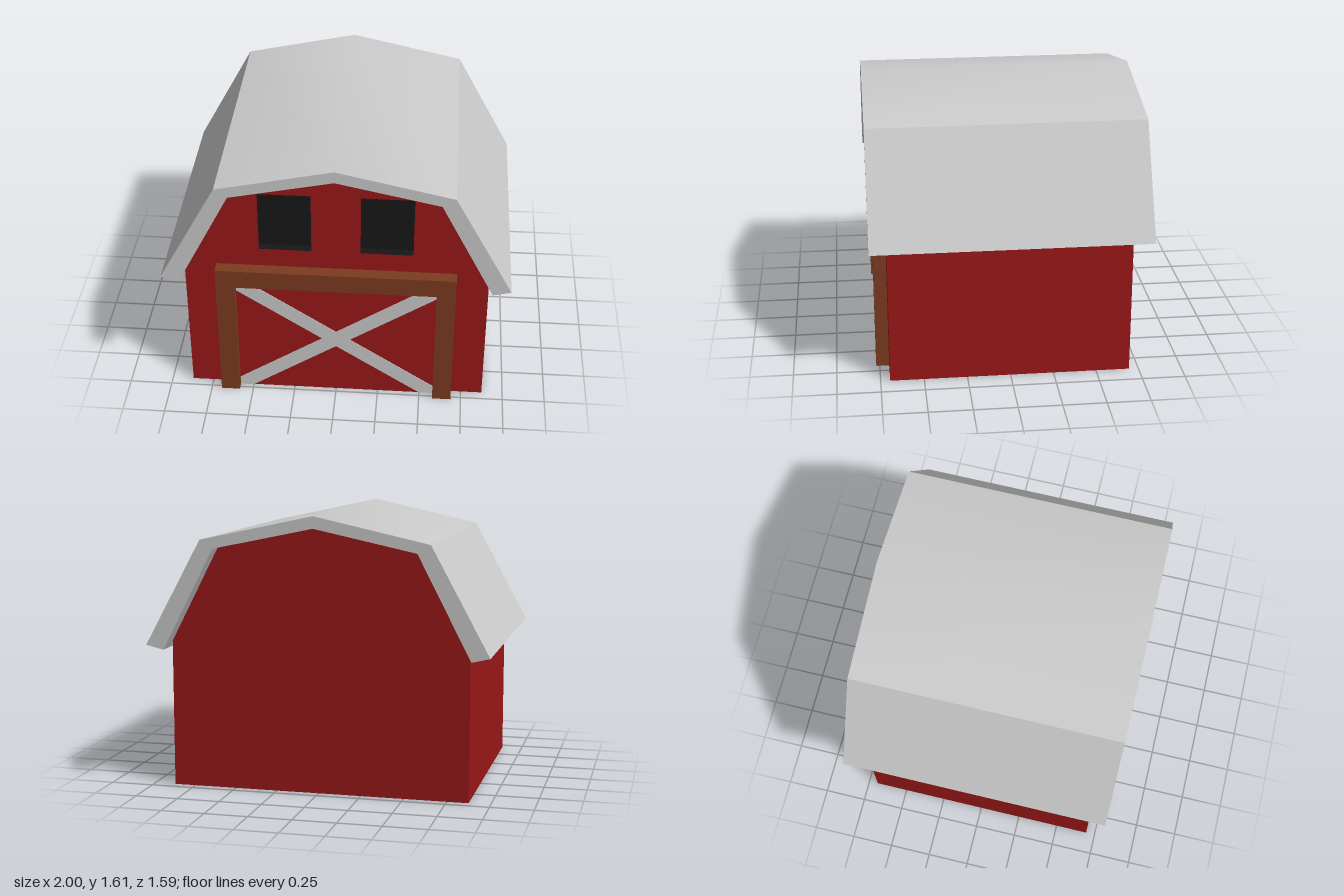
import * as THREE from 'three';
import { toCreasedNormals } from 'three/addons/utils/BufferGeometryUtils.js';

const paint = (color) => new THREE.MeshStandardMaterial({ color, side: THREE.DoubleSide });
const red = paint(0x9b1818);
const brown = paint(0x7c3b20);
const black = paint(0x171717);
const grey = paint(0xcccccc);

const WALL_X = 0.875, WALL_Z = 0.695, WALL_TOP = 0.859; // shell half sizes and eave height
const DOOR_X = 0.58, DOOR_TOP = 0.77, DOOR_Z = 0.72;
const WIN = { x: 0.29, y: 1.1875, w: 0.3, h: 0.375, depth: 0.05 };

const points = (list) => list.map(([x, y]) => new THREE.Vector2(x, y));
const outline = (list) => new THREE.Shape(points(list));

function extrude(shape, z0, z1) {
  const geo = new THREE.ExtrudeGeometry(shape, { depth: z1 - z0, bevelEnabled: false });
  return geo.translate(0, 0, z0);
}

export function createModel() {
  const barn = new THREE.Group();
  barn.name = 'barn';

  const add = (name, geo, material) => {
    const mesh = new THREE.Mesh(geo, material);
    mesh.name = name;
    barn.add(mesh);
    return mesh;
  };

  // Gable tops shared by the front and back walls
  const gable = [[WALL_X, WALL_TOP], [0.59, 1.41], [0, 1.535], [-0.59, 1.41], [-WALL_X, WALL_TOP]];

  // Front wall, notched for the door and pierced for the windows
  const front = outline([
    [-WALL_X, 0], [-DOOR_X, 0], [-DOOR_X, DOOR_TOP], [DOOR_X, DOOR_TOP], [DOOR_X, 0], [WALL_X, 0], ...gable,
  ]);
  for (const side of [-1, 1]) {
    const x0 = side * WIN.x - WIN.w / 2, x1 = x0 + WIN.w;
    const y0 = WIN.y - WIN.h / 2, y1 = y0 + WIN.h;
    front.holes.push(new THREE.Path(points([[x0, y0], [x0, y1], [x1, y1], [x1, y0]])));
  }
  add('frontWall', new THREE.ShapeGeometry(front).translate(0, 0, WALL_Z), red);

  // Back wall
  const back = new THREE.ShapeGeometry(outline([[-WALL_X, 0], [WALL_X, 0], ...gable]));
  add('backWall', back.rotateY(Math.PI).translate(0, 0, -WALL_Z), red);

  for (const side of [-1, 1]) {
    const label = side > 0 ? 'left' : 'right';

    // Side wall
    const wall = new THREE.PlaneGeometry(2 * WALL_Z, WALL_TOP).rotateY(side * Math.PI / 2);
    add(label + 'Wall', wall.translate(side * WALL_X, WALL_TOP / 2, 0), red);

    // Recessed window: a box without its +z face
    const box = new THREE.BoxGeometry(WIN.w, WIN.h, WIN.depth);
    const index = Array.from(box.index.array);
    index.splice(24, 6);
    box.setIndex(index);
    box.clearGroups();
    add(label + 'Window', box.translate(side * WIN.x, WIN.y, WALL_Z - WIN.depth / 2), black);

    // Diagonal door brace, running corner to corner
    const brace = outline([
      [-DOOR_X, DOOR_TOP], [-DOOR_X, 0.715], [0.5, 0], [DOOR_X, 0], [DOOR_X, 0.055], [-0.5, DOOR_TOP],
    ].map(([x, y]) => [side * x, y]));
    add(label + 'DoorBrace', extrude(brace, DOOR_Z - 0.003, DOOR_Z + 0.003), grey);
  }

  // Door panel
  const panel = new THREE.PlaneGeometry(2 * DOOR_X, DOOR_TOP);
  add('doorPanel', panel.translate(0, DOOR_TOP / 2, DOOR_Z), red);

  // Door frame
  const frame = outline([
    [-0.69, 0], [-DOOR_X, 0], [-DOOR_X, DOOR_TOP], [DOOR_X, DOOR_TOP],
    [DOOR_X, 0], [0.69, 0], [0.69, 0.885], [-0.69, 0.885],
  ]);
  add('doorFrame', extrude(frame, WALL_Z, 0.77), brown);

  // Gambrel roof, smooth over the ridge and sharp at the knees
  const roof = outline([
    [1, 0.845], [0.665, 1.46], [0, 1.605], [-0.665, 1.46], [-1, 0.845],
    [-0.895, 0.82], [-0.59, 1.41], [0, 1.535], [0.59, 1.41], [0.895, 0.82],
  ]);
  add('roof', toCreasedNormals(extrude(roof, -0.795, 0.795), 0.6), grey);

  return barn;
}
